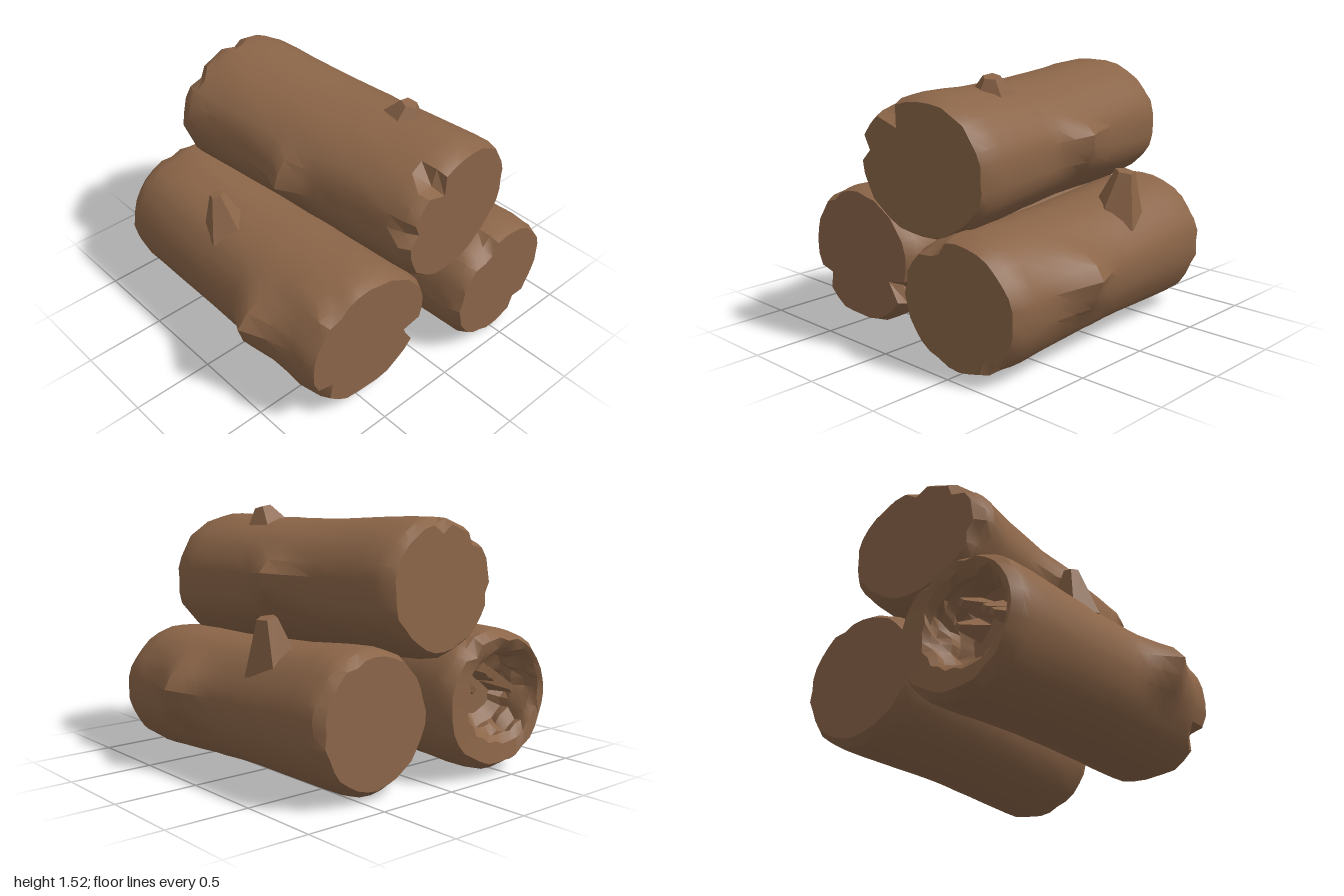
import * as THREE from 'three';
import { toCreasedNormals } from 'three/addons/utils/BufferGeometryUtils.js';

const SIDES = 32;

// small seeded generator, returns -1..1
function seeded(seed) {
  let s = seed;
  return () => {
    s = (s * 16807) % 2147483647;
    return (s / 2147483647) * 2 - 1;
  };
}

const angleGap = (a, b) => Math.abs(((a - b + 540) % 360) - 180);

// outer rings: [distance along the log 0..1, width factor, height factor]
const BARK = [
  [0, 0.89, 0.89], [0.03, 0.98, 0.98], [0.06, 1, 1], [0.14, 1, 1], [0.22, 1, 0.98], [0.32, 1, 0.96],
  [0.43, 1, 0.945], [0.5, 1, 0.94], [0.57, 1, 0.945], [0.62, 1, 0.95], [0.67, 1, 0.955], [0.74, 1, 0.965],
  [0.82, 1, 0.985], [0.91, 1, 1], [0.965, 0.99, 0.99], [1, 0.93, 0.93],
];
// inner rings of a rotten, hollow end, deepest first
const HOLLOW = [[0.16, 0.4], [0.13, 0.56], [0.09, 0.54], [0.06, 0.63], [0.03, 0.62], [0.008, 0.69]];

function logGeometry({ back, front, rBack, rFront, seed, notches, bumps, hollow = false }) {
  const rnd = seeded(seed);
  const a = new THREE.Vector3(...back), b = new THREE.Vector3(...front);
  const axis = b.clone().sub(a);
  const dir = axis.clone().normalize();
  const right = new THREE.Vector3(0, 1, 0).cross(dir).normalize();
  const up = dir.clone().cross(right);
  const column = Array.from({ length: SIDES }, () => rnd() * 0.016);
  const rings = hollow ? [...HOLLOW, ...BARK] : BARK;
  const pos = [], index = [];

  rings.forEach(([t, fx, fy = fx], j) => {
    const inner = hollow && j < HOLLOW.length;
    const rx = THREE.MathUtils.lerp(rBack[0], rFront[0], t);
    const ry = THREE.MathUtils.lerp(rBack[1], rFront[1], t);
    const [ox, oy] = inner ? [-0.055, 0.025] : [0, 0];
    for (let i = 0; i < SIDES; i++) {
      const deg = (i / SIDES) * 360, ang = THREE.MathUtils.degToRad(deg);
      const rim = t < 0.05 || t > 0.95;
      let k = column[i] + rnd() * (inner ? 0.04 : rim ? 0.015 : 0.006);
      if (!inner) {
        // chips broken out of the rim
        for (const [end, at, depth] of notches) {
          const d = Math.abs(t - end);
          if (d < 0.05 && angleGap(deg, at) < 6) k -= depth * (d < 0.01 ? 1 : 0.65);
        }
        // pointed swellings along the bark
        for (const [along, at, height, wide, reach] of bumps) {
          const w = Math.max(0, 1 - angleGap(deg, at) / wide) * Math.max(0, 1 - Math.abs(t - along) / reach);
          k += height * w;
        }
      }
      const p = a.clone().addScaledVector(axis, t)
        .addScaledVector(right, Math.cos(ang) * rx * (fx + k) + ox)
        .addScaledVector(up, Math.sin(ang) * ry * (fy + k) + oy);
      pos.push(p.x, p.y, p.z);
    }
  });

  for (let j = 0; j < rings.length - 1; j++) {
    for (let i = 0; i < SIDES; i++) {
      const n = (i + 1) % SIDES, p = j * SIDES, q = p + SIDES;
      index.push(p + i, p + n, q + n, p + i, q + n, q + i);
    }
  }
  // end faces
  const c0 = pos.length / 3, last = (rings.length - 1) * SIDES;
  const start = a.clone().addScaledVector(axis, rings[0][0]);
  pos.push(...start.toArray(), ...b.toArray());
  for (let i = 0; i < SIDES; i++) {
    const n = (i + 1) % SIDES;
    index.push(c0, n, i, c0 + 1, last + i, last + n);
  }
  const g = new THREE.BufferGeometry();
  g.setAttribute('position', new THREE.Float32BufferAttribute(pos, 3));
  g.setIndex(index);
  return toCreasedNormals(g, 0.5);
}

// faceted tapered stub between two points
function stubGeometry(base, tip, r0, r1, sides = 5) {
  const a = new THREE.Vector3(...base), b = new THREE.Vector3(...tip);
  const d = b.clone().sub(a);
  const g = new THREE.CylinderGeometry(r1, r0, d.length(), sides);
  g.applyQuaternion(new THREE.Quaternion().setFromUnitVectors(new THREE.Vector3(0, 1, 0), d.normalize()));
  g.translate(...a.add(b).multiplyScalar(0.5).toArray());
  return toCreasedNormals(g, 0.1);
}

export function createModel() {
  const model = new THREE.Group();
  model.name = 'logPile';
  const wood = new THREE.MeshStandardMaterial({ color: 0x8b6548 });
  wood.name = 'brown wood';
  const add = (name, geometry) => {
    const m = new THREE.Mesh(geometry, wood);
    m.name = name;
    model.add(m);
  };

  // the three logs
  add('rightLog', logGeometry({
    back: [-0.42, 0.44, -0.96], front: [-0.45, 0.435, 0.805], rBack: [0.43, 0.41], rFront: [0.435, 0.41], seed: 71,
    notches: [[1, 213, 0.2], [1, 337, 0.28], [1, 120, 0.08], [0, 60, 0.1], [0, 100, 0.06]],
    bumps: [[0.74, 169, 0.31, 34, 0.14], [0.91, 10, 0.09, 30, 0.3]], hollow: true,
  }));
  add('leftLog', logGeometry({
    back: [0.41, 0.42, -0.84], front: [0.515, 0.38, 0.94], rBack: [0.42, 0.4], rFront: [0.405, 0.375], seed: 423,
    notches: [[1, 118, 0.14], [1, 303, 0.15], [0, 70, 0.05]],
    bumps: [[0.67, 14, 0.29, 36, 0.14], [0.14, 192, 0.07, 45, 0.35]],
  }));
  add('topLog', logGeometry({
    back: [-0.03, 1.105, -0.89], front: [0.16, 1.045, 0.86], rBack: [0.455, 0.385], rFront: [0.45, 0.4], seed: 1907,
    notches: [[1, 124, 0.3], [1, 170, 0.1], [0, 90, 0.12], [0, 135, 0.1], [0, 190, 0.06]],
    bumps: [[0.5, 6, 0.24, 28, 0.12], [0.5, 175, 0.23, 24, 0.1], [0.06, 168, 0.07, 30, 0.1]],
  }));

  // cut branch stubs
  add('rightKnot', stubGeometry([-0.63, 0.7, -0.21], [-0.655, 0.96, -0.26], 0.15, 0.042));
  add('leftKnot', stubGeometry([0.63, 0.64, -0.24], [0.68, 0.94, -0.25], 0.17, 0.06));
  add('topKnot', stubGeometry([0.21, 1.37, 0.36], [0.23, 1.505, 0.39], 0.15, 0.05));

  // splinters in the hollow end
  for (let i = 0; i < 4; i++) {
    const a = i * 0.8 + 0.5, r = 0.13 + (i % 2) * 0.04;
    const x = -0.47 + Math.cos(a) * r, y = 0.46 + Math.sin(a) * r;
    add('splinter' + (i + 1), stubGeometry([x, y, -0.67], [x + 0.02, y - 0.03, -0.84 - (i % 2) * 0.05], 0.08, 0.025, 4));
  }
  return model;
}
